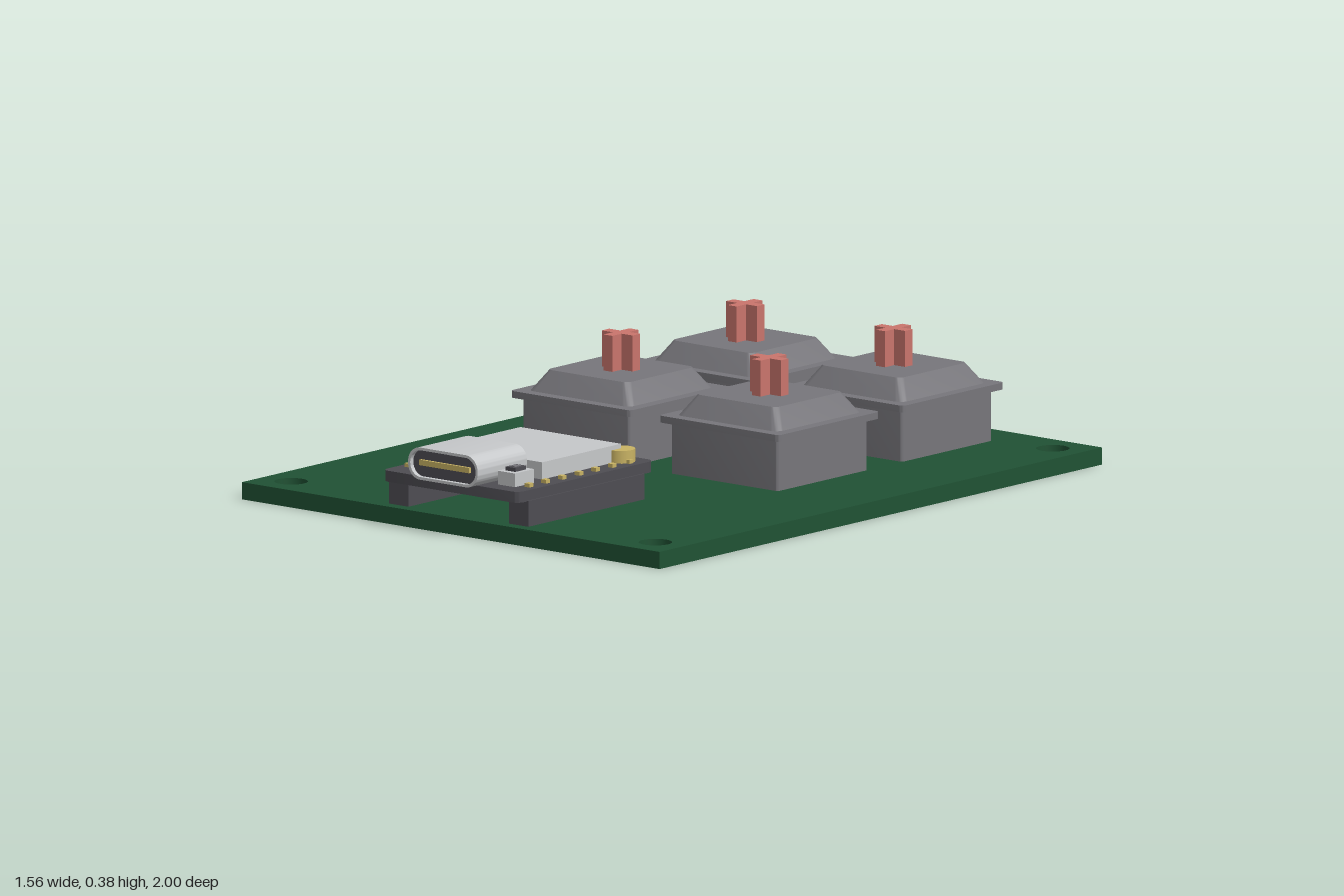
import * as THREE from 'three';
import { toCreasedNormals } from 'three/addons/utils/BufferGeometryUtils.js';

const material = (name, color) => {
  const m = new THREE.MeshStandardMaterial({ color });
  m.name = name;
  return m;
};

// Rounded rectangle outline
function roundRect(w, h, r, Type = THREE.Shape) {
  const s = new Type(), x = w / 2, y = h / 2;
  s.moveTo(-x + r, -y);
  s.lineTo(x - r, -y);
  s.absarc(x - r, -y + r, r, -Math.PI / 2, 0);
  s.lineTo(x, y - r);
  s.absarc(x - r, y - r, r, 0, Math.PI / 2);
  s.lineTo(-x + r, y);
  s.absarc(-x + r, y - r, r, Math.PI / 2, Math.PI);
  s.lineTo(-x, -y + r);
  s.absarc(-x + r, -y + r, r, Math.PI, Math.PI * 1.5);
  return s;
}

// Horizontal slab from an outline; topScale tapers its upper face
function slab(shape, height, segments = 5, topScale = 1) {
  const g = new THREE.ExtrudeGeometry(shape, { depth: height, bevelEnabled: false, curveSegments: segments });
  g.rotateX(-Math.PI / 2);
  const p = g.attributes.position;
  for (let i = 0; i < p.count; i++) {
    if (p.getY(i) > height / 2) p.setXYZ(i, p.getX(i) * topScale, p.getY(i), p.getZ(i) * topScale);
  }
  g.computeVertexNormals();
  return toCreasedNormals(g, 0.6);
}

export function createModel() {
  const green = material('board green', 0x205234);
  const grey = material('switch grey', 0x77767b);
  const dark = material('dark plastic', 0x4e4d53);
  const red = material('stem red', 0xca756c);
  const silver = material('silver metal', 0xc6c8ca);
  const gold = material('gold contacts', 0xc9b364);

  const model = new THREE.Group();
  model.name = 'macroPad';
  const add = (parent, name, geometry, mat, x, y, z) => {
    const mesh = new THREE.Mesh(geometry, mat);
    mesh.name = name;
    mesh.position.set(x, y, z);
    parent.add(mesh);
    return mesh;
  };
  const box = (parent, name, mat, [w, h, d], [x, y, z]) =>
    add(parent, name, new THREE.BoxGeometry(w, h, d), mat, x, y + h / 2, z);

  const T = 0.05; // board thickness
  const switchSpots = [];
  for (const x of [-0.277, 0.277]) for (const z of [-0.672, -0.12]) switchSpots.push([x, z]);
  const switchPins = [[0.111, 0.074], [-0.074, 0.148]];
  const headerPins = [];
  for (const x of [-0.224, 0.224]) for (let i = 0; i < 7; i++) headerPins.push([x, 0.44 + i * 0.074]);

  // Main board with mounting, switch and header holes
  const outline = new THREE.Shape([[-0.78, -0.965], [0.78, -0.965], [0.78, 1], [-0.78, 1]]
    .map(([x, y]) => new THREE.Vector2(x, y)));
  const hole = (x, z, r) => outline.holes.push(new THREE.Path().absarc(x, -z, r, 0, Math.PI * 2, true));
  for (const x of [-0.68, 0.68]) for (const z of [-0.9, 0.865]) hole(x, z, 0.048);
  for (const [x, z] of switchSpots) {
    hole(x, z, 0.058);
    for (const s of [-1, 1]) hole(x + s * 0.148, z, 0.025);
    for (const [px, pz] of switchPins) hole(x + px, z + pz, 0.022);
  }
  for (const [x, z] of headerPins) hole(x, z, 0.015);
  add(model, 'mainBoard', slab(outline, T, 12), green, 0, 0, 0);

  // Key switches
  const housing = slab(roundRect(0.4, 0.4, 0.008), 0.15, 3);
  const flange = slab(roundRect(0.45, 0.45, 0.015), 0.02, 4);
  const cap = slab(roundRect(0.38, 0.38, 0.025), 0.06, 3, 0.79);
  const a = 0.0575, b = 0.0165;
  const cross = new THREE.Shape([
    [-b, -a], [b, -a], [b, -b], [a, -b], [a, b], [b, b],
    [b, a], [-b, a], [-b, b], [-a, b], [-a, -b], [-b, -b],
  ].map(([x, y]) => new THREE.Vector2(x, y)));
  const stem = slab(cross, 0.105);
  for (const [x, z] of switchSpots) {
    const key = new THREE.Group();
    key.name = 'keySwitch';
    key.position.set(x, 0, z);
    add(key, 'switchHousing', housing, grey, 0, T, 0);
    add(key, 'switchFlange', flange, grey, 0, 0.2, 0);
    add(key, 'switchTop', cap, grey, 0, 0.22, 0);
    add(key, 'switchStem', stem, red, 0, 0.28, 0);
    for (const [px, pz] of switchPins) box(key, 'switchPin', gold, [0.026, 0.05, 0.012], [px, 0.002, pz]);
    model.add(key);
  }

  // Controller module on two header strips
  const controller = new THREE.Group();
  controller.name = 'controller';
  model.add(controller);
  for (const s of [-1, 1]) box(controller, 'headerStrip', dark, [0.072, 0.075, 0.515], [s * 0.224, T, 0.672]);
  add(controller, 'controllerBoard', slab(roundRect(0.51, 0.605, 0.025), 0.032), dark, 0, 0.123, 0.665);
  for (const [x, z] of headerPins) box(controller, 'headerPin', gold, [0.018, 0.164, 0.018], [x, 0.002, z]);
  box(controller, 'shieldCan', silver, [0.375, 0.05, 0.35], [-0.002, 0.155, 0.605]);
  add(controller, 'antennaContact', new THREE.CylinderGeometry(0.042, 0.042, 0.037, 16), gold, 0.185, 0.1735, 0.43);

  // Push buttons either side of the connector
  for (const s of [-1, 1]) {
    box(controller, 'buttonBody', silver, [0.064, 0.04, 0.085], [s * 0.166, 0.155, 0.873]);
    box(controller, 'buttonPlunger', dark, [0.036, 0.011, 0.048], [s * 0.166, 0.195, 0.873]);
    box(controller, 'buttonTip', grey, [0.016, 0.002, 0.026], [s * 0.166, 0.206, 0.873]);
  }

  // Connector shell, its dark inside and the contact tongue
  const shell = roundRect(0.26, 0.094, 0.045);
  shell.holes.push(roundRect(0.244, 0.078, 0.0385, THREE.Path));
  const along = (shape, depth) => toCreasedNormals(
    new THREE.ExtrudeGeometry(shape, { depth, bevelEnabled: false, curveSegments: 8 }), 0.6);
  add(controller, 'connectorShell', along(shell, 0.22), silver, 0, 0.2, 0.78);
  add(controller, 'connectorInside', along(roundRect(0.244, 0.078, 0.0385), 0.205), dark, 0, 0.2, 0.781);
  box(controller, 'connectorTongue', gold, [0.185, 0.016, 0.02], [0, 0.194, 0.985]);

  return model;
}
